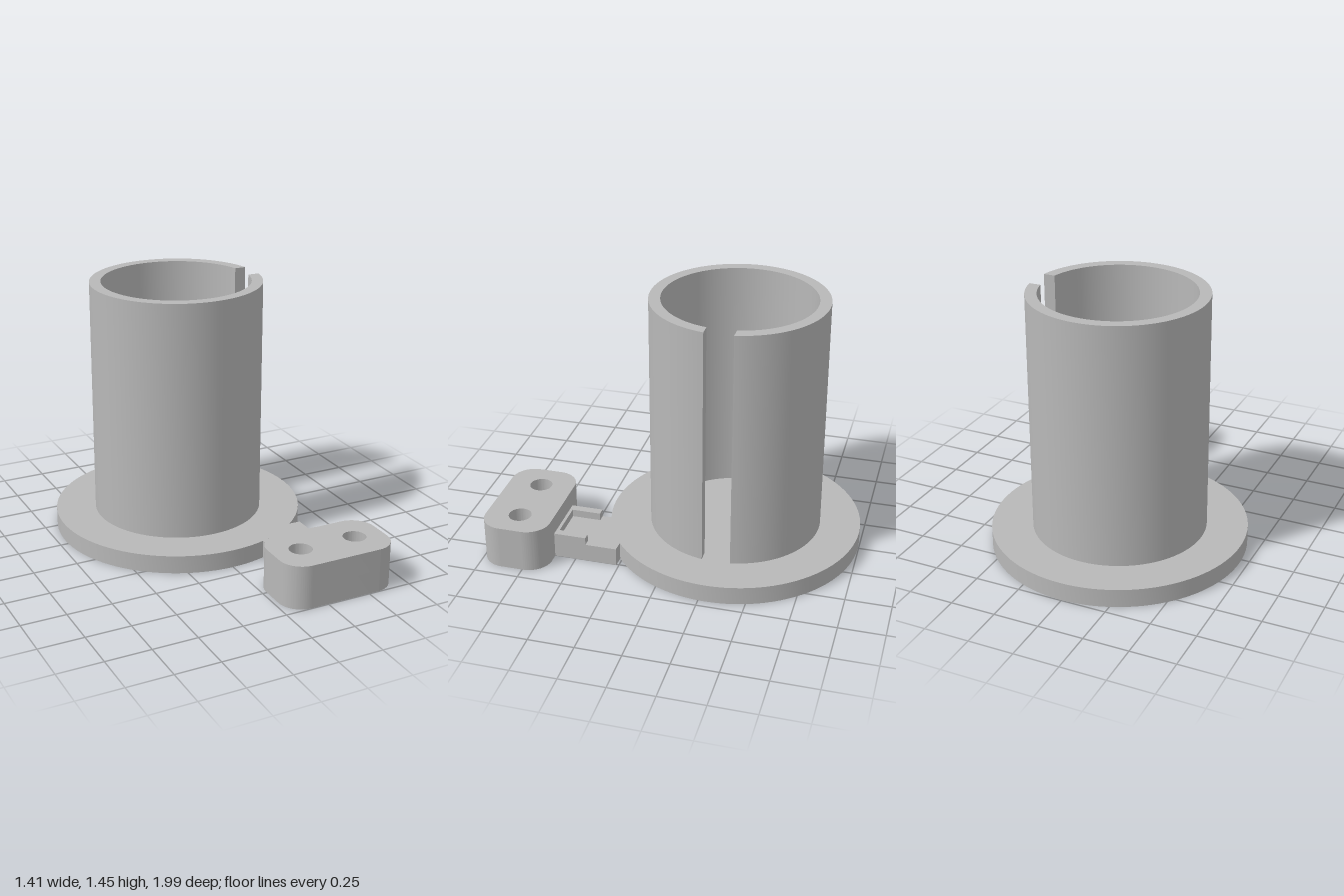
import * as THREE from 'three';
import { toCreasedNormals } from 'three/addons/utils/BufferGeometryUtils.js';

const material = new THREE.MeshStandardMaterial({ name: 'plain grey', color: 0xb8b8b8 });
const CZ = -0.29; // z of the disc and tube axis

// Extrudes a plan outline (shape y = -z) upward from y0 to y1.
function slab(name, shape, y0, y1) {
  let geo = new THREE.ExtrudeGeometry(shape, { depth: y1 - y0, bevelEnabled: false, curveSegments: 48 });
  geo.rotateX(-Math.PI / 2);
  geo.translate(0, y0, 0);
  geo = toCreasedNormals(geo, 0.5);
  const mesh = new THREE.Mesh(geo, material);
  mesh.name = name;
  return mesh;
}

// Closed plan outline from [x, z] points.
const outline = (pts) => new THREE.Shape(pts.map(([x, z]) => new THREE.Vector2(x, -z)));

// Round disc with the arm growing out of its front edge.
function baseShape() {
  const r = 0.706, x0 = 0.2, x1 = 0.44, end = 0.63;
  const a0 = -Math.acos(x1 / r), a1 = -Math.acos(x0 / r);
  const s = new THREE.Shape();
  s.absarc(0, -CZ, r, a0, a1 + Math.PI * 2, false);
  s.lineTo(0.2, -end);
  s.lineTo(0.505, -end);
  s.lineTo(0.505, -0.265);
  s.closePath();
  return s;
}

// Ring with a parallel-sided slot on the +x side.
function tubeShape() {
  const ro = 0.48, ri = 0.417, half = 0.078;
  const ao = Math.asin(half / ro), ai = Math.asin(half / ri);
  const s = new THREE.Shape();
  s.absarc(0, -CZ, ro, ao, Math.PI * 2 - ao, false);
  s.absarc(0, -CZ, ri, Math.PI * 2 - ai, ai, true);
  s.closePath();
  return s;
}

// Rounded mounting block with two holes made by the given function.
function blockShape(makeHole) {
  const x0 = 0.025, x1 = 0.68, y0 = -0.997, y1 = -0.62, r = 0.125, q = Math.PI / 2;
  const s = new THREE.Shape();
  s.absarc(x1 - r, y0 + r, r, -q, 0, false);
  s.absarc(x1 - r, y1 - r, r, 0, q, false);
  s.absarc(x0 + r, y1 - r, r, q, 2 * q, false);
  s.absarc(x0 + r, y0 + r, r, 2 * q, 3 * q, false);
  s.closePath();
  for (const x of [0.188, 0.518]) s.holes.push(makeHole(x, -0.808));
  return s;
}

const roundHole = (x, y) => new THREE.Path().absarc(x, y, 0.063, 0, Math.PI * 2, true);

const hexHole = (x, y) => new THREE.Path(Array.from({ length: 7 }, (_, i) => {
  const a = Math.PI / 6 - (i * Math.PI) / 3;
  return new THREE.Vector2(x + 0.106 * Math.cos(a), y + 0.106 * Math.sin(a));
}));

export function createModel() {
  const model = new THREE.Group();
  model.name = 'slottedTubeMount';
  const baseTop = 0.102, pocketTop = 0.125;

  model.add(slab('baseDiscAndArm', baseShape(), 0, baseTop));
  model.add(slab('slottedTube', tubeShape(), baseTop, 1.445));

  // U-shaped raised rim on the arm
  model.add(slab('armRim', outline([
    [0.2, 0.44], [0.2, 0.63], [0.505, 0.63], [0.505, 0.44],
    [0.462, 0.44], [0.462, 0.603], [0.245, 0.603], [0.245, 0.44],
  ]), baseTop, 0.145));

  // Block: hexagonal nut pockets below, round bolt holes above
  const block = new THREE.Group();
  block.name = 'mountingBlock';
  block.add(slab('blockNutPockets', blockShape(hexHole), 0, pocketTop));
  block.add(slab('blockBoltHoles', blockShape(roundHole), pocketTop, 0.246));
  model.add(block);
  return model;
}
